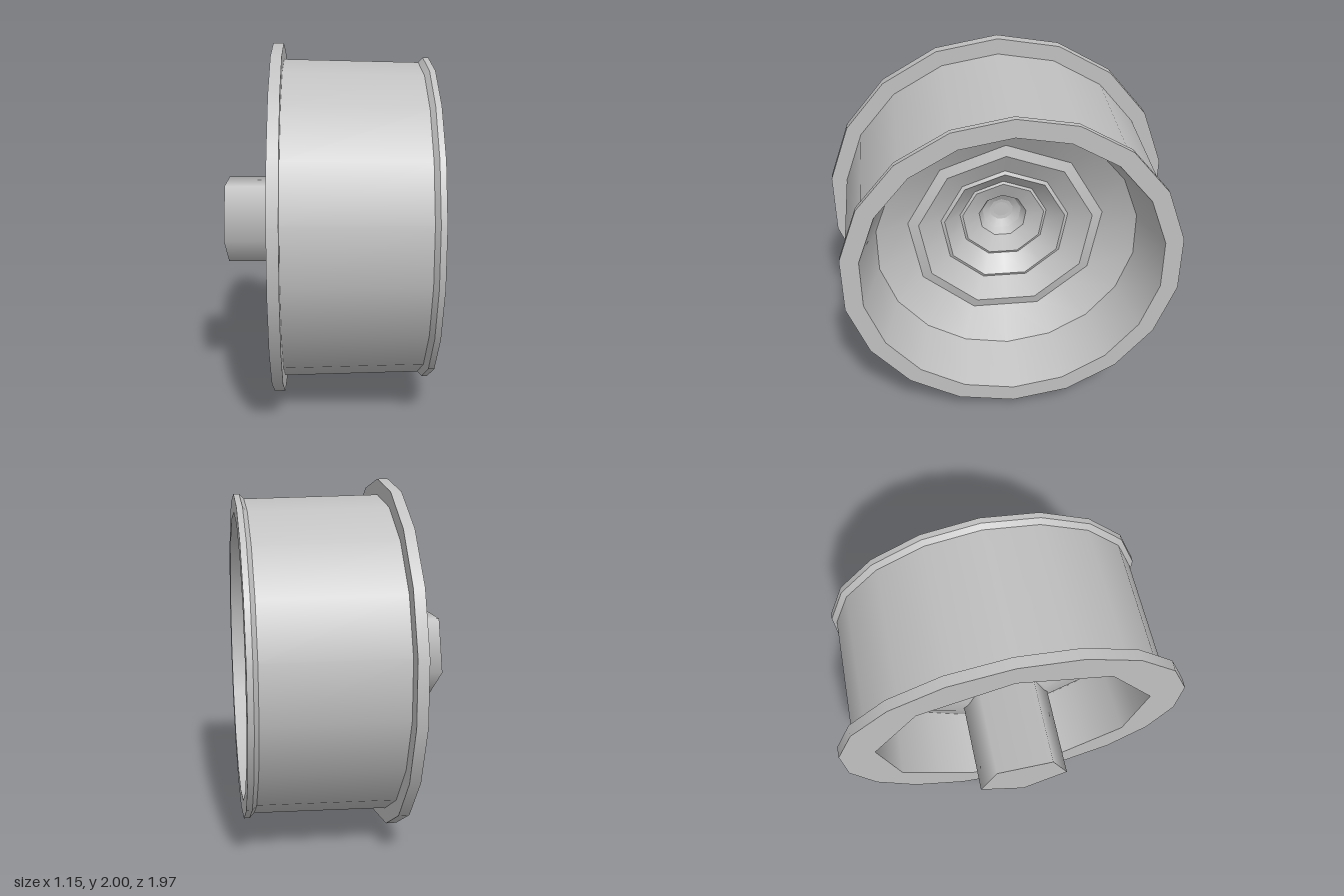
import * as THREE from 'three';
import { mergeGeometries } from 'three/addons/utils/BufferGeometryUtils.js';

const SIDES = 18;

// One smooth band around the x axis between two rings [x, radius, sides].
// A nine-sided ring has its odd points pulled onto the chords.
function band(a, b) {
  const g = new THREE.LatheGeometry(
    [a, b].map(([x, r]) => new THREE.Vector2(r, x)), SIDES, -Math.PI / 2);
  const p = g.attributes.position;
  const chord = Math.cos((2 * Math.PI) / SIDES);
  for (let i = 1; i <= SIDES; i += 2) {
    [a, b].forEach((ring, j) => {
      if (ring[2] !== 9) return;
      const k = i * 2 + j;
      p.setX(k, p.getX(k) * chord);
      p.setZ(k, p.getZ(k) * chord);
    });
  }
  g.rotateZ(-Math.PI / 2);
  return g;
}

// Bands along a profile, with a sharp edge at every ring
function turned(rings) {
  return mergeGeometries(rings.slice(1).map((r, i) => band(rings[i], r)));
}

export function createModel() {
  const model = new THREE.Group();
  model.name = 'wheel';
  const grey = new THREE.MeshStandardMaterial({ color: 0xc0c0c0 });
  grey.name = 'plain grey';

  const add = (name, geometry) => {
    const mesh = new THREE.Mesh(geometry, grey);
    mesh.name = name;
    mesh.position.y = 1;
    model.add(mesh);
  };

  // Flange, with the nine-sided opening in its back face
  add('flange', turned([
    [-0.30, 0.80, 9], [-0.30, 1.0], [-0.24, 1.0], [-0.24, 0.912],
  ]));

  // Tapered running surface
  add('tread', turned([[-0.24, 0.912], [0.515, 0.894]]));

  // Raised outer lip
  add('lip', turned([
    [0.515, 0.894], [0.54, 0.92], [0.572, 0.92], [0.572, 0.82],
  ]));

  // Dished face with stepped rings
  add('dish', turned([
    [0.572, 0.82], [0.27, 0.735], [0.165, 0.56, 9], [0.18, 0.50, 9],
    [0.11, 0.37, 9], [0.12, 0.35, 9], [0.03, 0.255, 9], [0.037, 0.24, 9],
    [-0.005, 0.14, 9],
  ]));

  // Rounded hollow at the centre of the dish
  add('centreHollow', turned([
    [-0.005, 0.14, 9], [-0.05, 0.115, 9], [-0.075, 0.07, 9], [-0.085, 0, 9],
  ]));

  // Recess in the back, its floor sloping up to the axle
  add('backRecess', turned([
    [-0.10, 0, 9], [-0.09, 0.24, 9], [0.10, 0.77, 9], [-0.30, 0.80, 9],
  ]));

  // Five-sided axle stub
  const axle = new THREE.CylinderGeometry(0.265, 0.265, 0.50, 5, 1, false, Math.PI / 2);
  axle.rotateZ(-Math.PI / 2);
  axle.translate(-0.328, 0, 0);
  add('axle', axle);

  return model;
}
